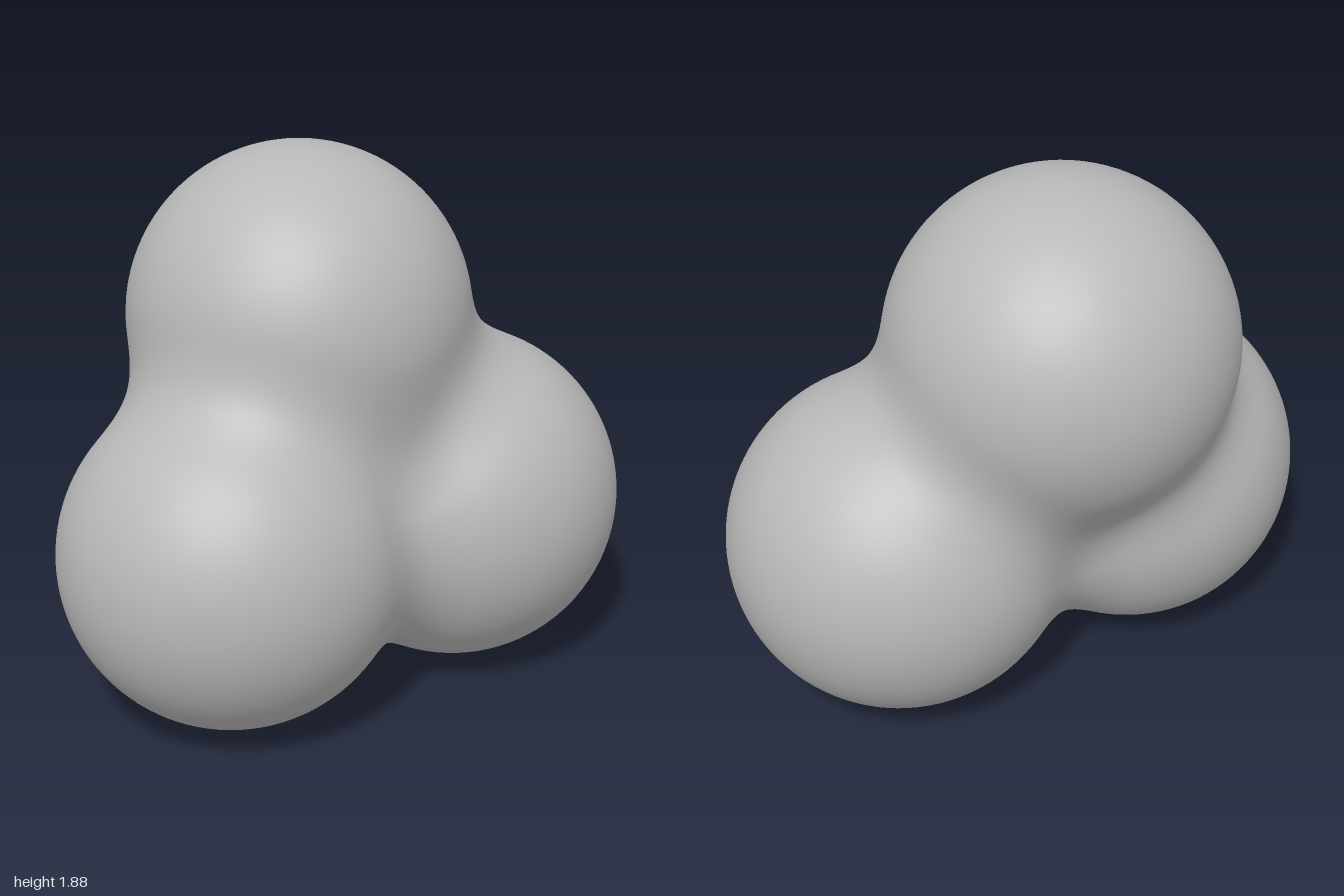
import * as THREE from 'three';
import { mergeVertices } from 'three/addons/utils/BufferGeometryUtils.js';

const RADIUS = 0.585;
const BLEND = 0.23; // width of the soft fillet between lobes
const LOBES = [
  new THREE.Vector3(-0.2, 0.585, 0.415), // front
  new THREE.Vector3(0.2, 0.585, -0.415), // back
  new THREE.Vector3(-0.2, 1.295, -0.04), // top
];

// Distance to the three lobes, softly merged
function smoothMin(a, b) {
  const h = Math.max(BLEND - Math.abs(a - b), 0) / BLEND;
  return Math.min(a, b) - h * h * BLEND * 0.25;
}
function field(p) {
  return LOBES.map((c) => p.distanceTo(c) - RADIUS).reduce(smoothMin);
}

// Every lobe contains the shared middle, so a ball can be pushed outward to the blended skin
function blendedSkin() {
  const ball = new THREE.IcosahedronGeometry(1, 30);
  ball.deleteAttribute('normal');
  ball.deleteAttribute('uv');
  const geometry = mergeVertices(ball, 1e-5);
  const middle = new THREE.Vector3();
  LOBES.forEach((c) => middle.addScaledVector(c, 1 / LOBES.length));

  const pos = geometry.attributes.position;
  const dir = new THREE.Vector3();
  const p = new THREE.Vector3();
  for (let i = 0; i < pos.count; i++) {
    dir.fromBufferAttribute(pos, i).normalize();
    let near = 0;
    let far = 2;
    for (let step = 0; step < 26; step++) {
      const t = (near + far) / 2;
      p.copy(middle).addScaledVector(dir, t);
      if (field(p) < 0) near = t;
      else far = t;
    }
    pos.setXYZ(i, p.x, p.y, p.z);
  }
  geometry.computeVertexNormals();
  return geometry;
}

export function createModel() {
  const group = new THREE.Group();
  group.name = 'threeLobedBlob';
  const grey = new THREE.MeshStandardMaterial({ color: 0xb8b8b8 });
  grey.name = 'light grey';
  const body = new THREE.Mesh(blendedSkin(), grey);
  body.name = 'blendedLobes';
  group.add(body);
  return group;
}
